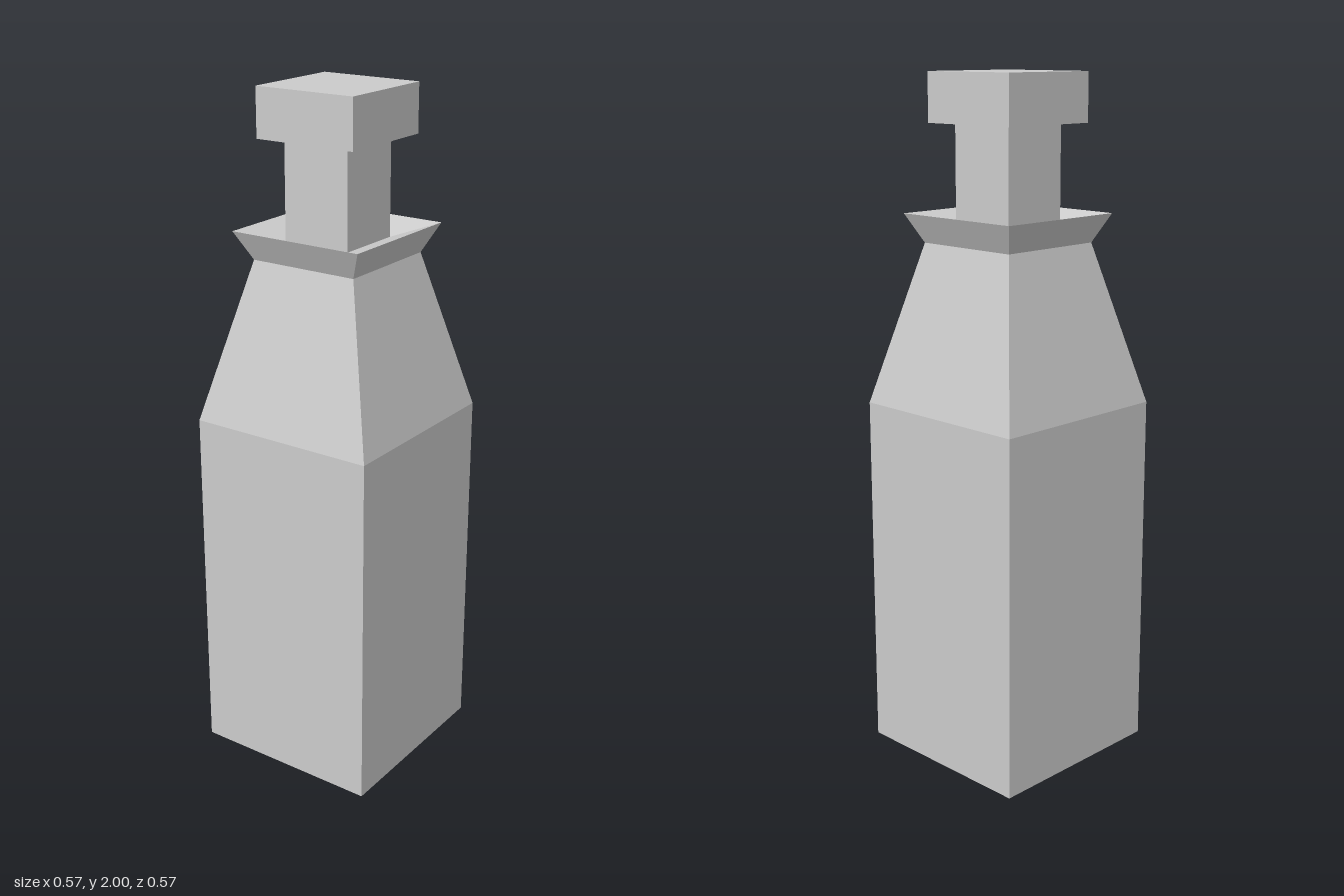
import * as THREE from 'three';

// Square-section solid turned from a profile of [half width, height] points, bottom to top
function squareLathe(name, profile, material) {
  const points = profile.map(([half, y]) => new THREE.Vector2(half * Math.SQRT2, y));
  const geometry = new THREE.LatheGeometry(points, 4, Math.PI / 4).toNonIndexed();
  geometry.computeVertexNormals();
  const mesh = new THREE.Mesh(geometry, material);
  mesh.name = name;
  return mesh;
}

export function createModel() {
  const group = new THREE.Group();
  group.name = 'bottle';
  const material = new THREE.MeshStandardMaterial({ color: 0xcccccc, flatShading: true });

  group.add(
    // Straight body with closed base
    squareLathe('body', [[0, 0], [0.286, 0], [0.286, 1.06]], material),
    // Tapered shoulder
    squareLathe('shoulder', [[0.286, 1.06], [0.167, 1.527]], material),
    // Flared collar with a shallow dished top running in to the neck
    squareLathe('collar', [[0.167, 1.527], [0.208, 1.61], [0.104, 1.575]], material),
    // Neck
    squareLathe('neck', [[0.104, 1.575], [0.104, 1.86]], material),
    // Stopper cap overhanging the neck
    squareLathe('cap', [[0.104, 1.86], [0.157, 1.86], [0.157, 2], [0, 2]], material)
  );
  return group;
}
